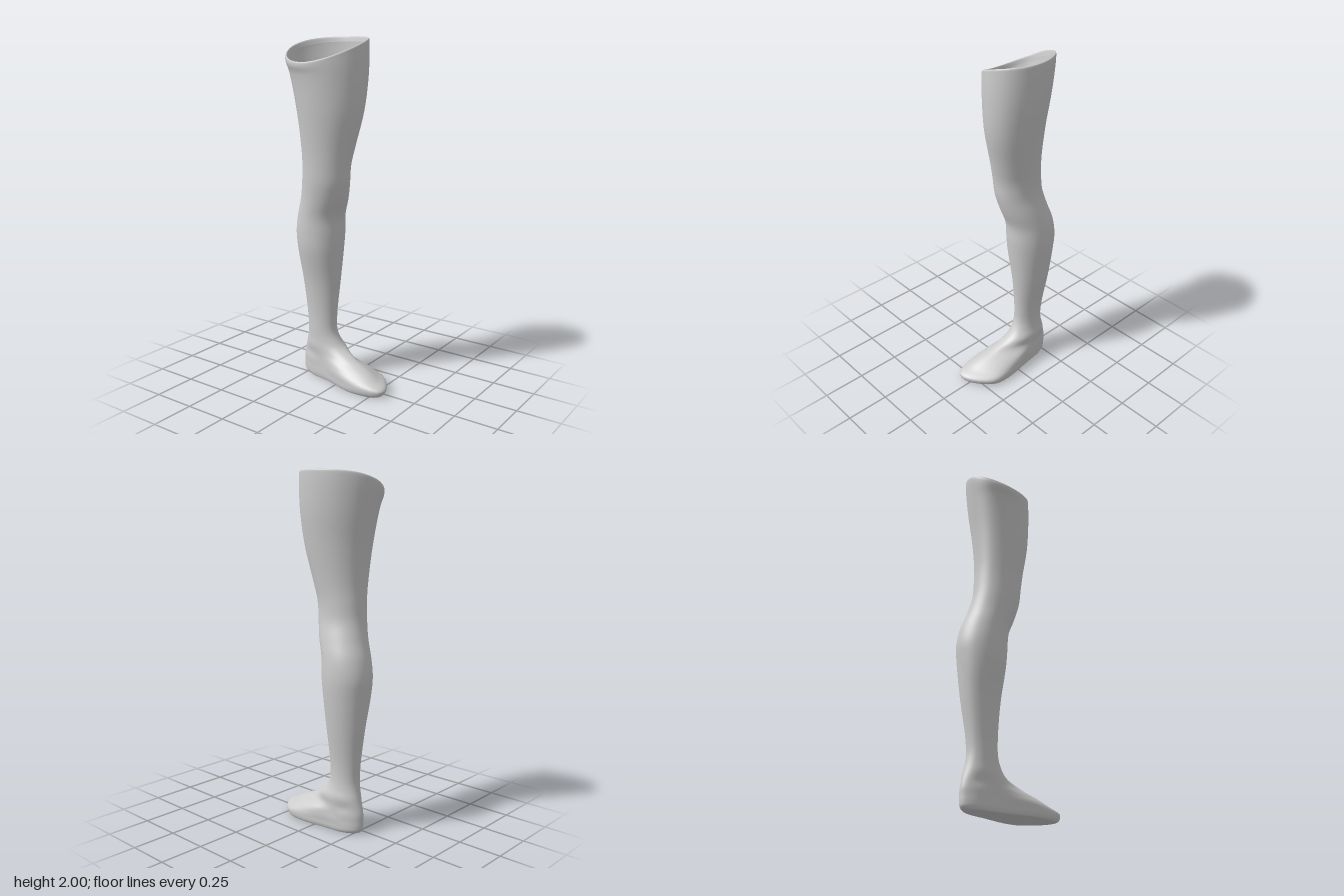
import * as THREE from 'three';

const N = 12;       // control points around each cross-section
const AROUND = 48;  // sampled points around
const DOWN = 110;   // sampled rows from rim to sole

// Horizontal oval from its extents; shear leans it sideways along z
function oval(y, x0, x1, z0, z1, shear = 0) {
  const pts = [];
  for (let k = 0; k < N; k++) {
    const a = (k / N) * Math.PI * 2;
    const dz = Math.sin(a) * (z1 - z0) / 2;
    pts.push(new THREE.Vector3(
      (x0 + x1) / 2 + Math.cos(a) * (x1 - x0) / 2 + dz * shear, y, (z0 + z1) / 2 + dz));
  }
  return pts;
}

// Slanted upper edge of the thigh
const rimY = (x) => 1.962 + 0.347 * x - 0.723 * x * x;

// Rim ring, scaled about the thigh's middle and dropped below the slanted edge
function rim(scale, drop) {
  return oval(0, -0.19, 0.19, -0.318, 0.128, 0.16).map((p) => new THREE.Vector3(
    p.x * scale, rimY(p.x) - drop, -0.095 + (p.z + 0.095) * scale));
}

// Foot outline from x, z pairs, running outer side, toes, inner side, heel
function outline(y, xz) {
  const pts = [];
  for (let i = 0; i < xz.length; i += 2) pts.push(new THREE.Vector3(xz[i], y, xz[i + 1]));
  return pts;
}

// Shrink a ring about the foot's middle and set it at height y
const inset = (ring, s, y) => ring.map((p) =>
  new THREE.Vector3(0.02 + (p.x - 0.02) * s, y, 0.01 + (p.z - 0.01) * s));

function createSections() {
  const heel = [-0.03, -0.2, 0, -0.265, 0.035, -0.29, 0.075, -0.265, 0.105, -0.2];
  const ball = outline(0.045, [0.12, -0.08, 0.142, 0.1, 0.118, 0.22, 0, 0.315,
    -0.085, 0.3, -0.107, 0.13, -0.055, -0.06, ...heel]);
  return [
    // turned-in lip and rim
    rim(0.93, 0.03), rim(0.965, 0.002), rim(0.99, 0.004), rim(1, 0.025),
    // thigh
    oval(1.8, -0.18, 0.182, -0.295, 0.13, 0.14),
    oval(1.6, -0.16, 0.155, -0.26, 0.115, 0.1),
    oval(1.4, -0.14, 0.125, -0.24, 0.07, 0.05),
    // knee
    oval(1.3, -0.132, 0.115, -0.24, 0.05),
    oval(1.2, -0.125, 0.117, -0.247, 0.04),
    oval(1.1, -0.113, 0.14, -0.268, 0.015),
    // calf
    oval(1.0, -0.103, 0.16, -0.3, -0.018),
    oval(0.9, -0.1, 0.166, -0.317, -0.022),
    oval(0.8, -0.093, 0.16, -0.31, -0.03),
    oval(0.6, -0.056, 0.135, -0.285, -0.05),
    oval(0.4, -0.038, 0.105, -0.257, -0.065),
    // ankle
    oval(0.3, -0.037, 0.1, -0.25, -0.063),
    oval(0.25, -0.038, 0.105, -0.256, -0.043),
    oval(0.2, -0.042, 0.116, -0.268, 0.0),
    // instep, toes and heel
    outline(0.15, [0.113, -0.13, 0.102, -0.05, 0.07, 0.03, 0.02, 0.095,
      -0.025, 0.07, -0.045, -0.02, -0.042, -0.12, -0.025, -0.2, 0, -0.258,
      0.035, -0.282, 0.075, -0.258, 0.1, -0.2]),
    outline(0.11, [0.115, -0.12, 0.125, 0, 0.09, 0.11, 0.01, 0.19,
      -0.05, 0.17, -0.075, 0.05, -0.045, -0.1, ...heel]),
    outline(0.075, [0.12, -0.1, 0.136, 0.06, 0.11, 0.17, 0.005, 0.255,
      -0.072, 0.24, -0.1, 0.1, -0.05, -0.08, ...heel]),
    ball,
    // sole edge
    inset(ball, 0.985, 0.02), inset(ball, 0.92, 0.004), inset(ball, 0.8, 0.003),
  ];
}

// Smooth skin through all cross-sections, open at the rim and closed at the sole
function createSkin() {
  const rings = createSections().map((ring) => {
    const curve = new THREE.CatmullRomCurve3(ring, true, 'catmullrom', 0.5);
    return Array.from({ length: AROUND }, (_, j) => curve.getPoint(j / AROUND));
  });
  const pos = [];
  const index = [];
  const columns = Array.from({ length: AROUND }, (_, j) =>
    new THREE.CatmullRomCurve3(rings.map((r) => r[j]), false, 'centripetal'));
  const rows = (rings.length - 1) * Math.round(DOWN / (rings.length - 1));
  for (let i = 0; i <= rows; i++) {
    for (const c of columns) {
      const p = c.getPoint(i / rows);
      pos.push(p.x, Math.max(p.y, 0), p.z);
    }
  }
  for (let i = 0; i < rows; i++) {
    for (let j = 0; j < AROUND; j++) {
      const k = (j + 1) % AROUND;
      const a = i * AROUND + j, b = i * AROUND + k;
      index.push(a, b, a + AROUND, b, b + AROUND, a + AROUND);
    }
  }
  // sole fan
  const centre = pos.length / 3;
  pos.push(0.02, 0.006, 0.01);
  for (let j = 0; j < AROUND; j++) {
    index.push(rows * AROUND + j, rows * AROUND + (j + 1) % AROUND, centre);
  }
  const g = new THREE.BufferGeometry();
  g.setAttribute('position', new THREE.Float32BufferAttribute(pos, 3));
  g.setIndex(index);
  g.computeVertexNormals();
  return g;
}

export function createModel() {
  const group = new THREE.Group();
  group.name = 'leg';
  const grey = new THREE.MeshStandardMaterial({ color: 0xcccccc, side: THREE.DoubleSide });
  grey.name = 'light grey';
  const skin = new THREE.Mesh(createSkin(), grey);
  skin.name = 'legAndFoot';
  group.add(skin);
  return group;
}
